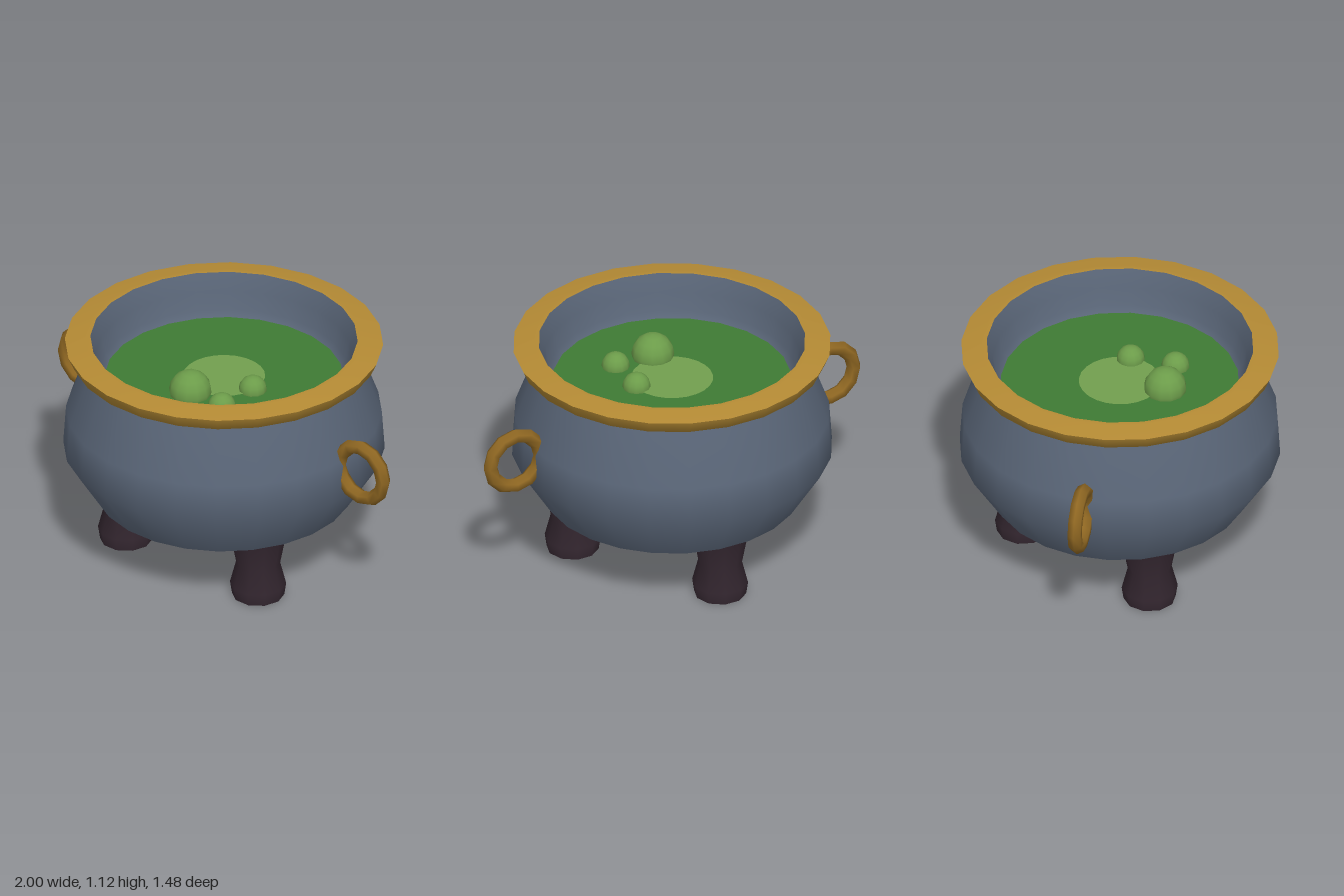
import * as THREE from 'three';

const SIDES = 24;

const mat = (name, color) => {
  const m = new THREE.MeshStandardMaterial({ color });
  m.name = name;
  return m;
};

// Revolve [radius, height] pairs; profiles run counter-clockwise so faces point outwards
const lathe = (points, sides = SIDES) =>
  new THREE.LatheGeometry(points.map(([r, y]) => new THREE.Vector2(r, y)), sides, Math.PI / sides);

export function createModel() {
  const iron = mat('iron', 0x5a6678);
  const darkIron = mat('dark iron', 0x33262f);
  const brass = mat('brass', 0xb48a34);
  const darkBrass = mat('dark brass', 0x8f6722);
  const brew = mat('brew', 0x3f7a34);
  const foam = mat('foam', 0x729f4f);
  const bubbleGreen = mat('bubble green', 0x6c9c4a);

  const model = new THREE.Group();
  model.name = 'cauldron';
  const add = (name, geometry, material, x = 0, y = 0, z = 0) => {
    const mesh = new THREE.Mesh(geometry, material);
    mesh.name = name;
    mesh.position.set(x, y, z);
    model.add(mesh);
    return mesh;
  };

  // Pot: dark base, bulging outer wall and inner wall with a small ledge
  add('base', lathe([[0, 0.215], [0.35, 0.215], [0.603, 0.32]]), darkIron);
  add('outerWall', lathe([[0.603, 0.32], [0.748, 0.55], [0.735, 0.74], [0.635, 1.01], [0.63, 1.06]]), iron);
  add('innerWall', lathe([[0.628, 1.117], [0.595, 1.03], [0.58, 0.94], [0.55, 0.905]]), iron);

  // Rim: sloping outside and nearly flat top
  add('rimSide', lathe([[0.625, 1.012], [0.715, 1.04], [0.741, 1.10]]), brass);
  add('rimTop', lathe([[0.741, 1.10], [0.645, 1.117], [0.622, 1.117]]), brass);

  // Brew with a paler patch and rising bubbles
  add('brewSurface', lathe([[0.562, 0.912], [0, 0.912]]), brew);
  add('foamPatch', lathe([[0.192, 0.918], [0, 0.918]]), foam);
  const bubbles = [[-0.02, 0.93, 0.22, 0.1], [0.183, 0.92, 0.01, 0.066], [0.175, 0.918, 0.225, 0.066]];
  for (const [x, y, z, r] of bubbles) {
    add('bubble', new THREE.SphereGeometry(r, 12, 8), bubbleGreen, x, y, z);
  }

  // Ring handles on both sides
  for (const side of [-1, 1]) {
    add(side > 0 ? 'leftHandle' : 'rightHandle',
      new THREE.TorusGeometry(0.132, 0.035, 6, 12), darkBrass, side * 0.833, 0.705, 0);
  }

  // Three pinched legs: two in front, one behind
  const legSide = lathe([[0.122, 0], [0.131, 0.06], [0.103, 0.17], [0.131, 0.32]], 10);
  const legSole = lathe([[0, 0], [0.122, 0]], 10);
  for (let i = 0; i < 3; i++) {
    const a = Math.PI / 3 + (i * Math.PI * 2) / 3;
    const x = 0.462 * Math.sin(a), z = 0.462 * Math.cos(a);
    add('leg', legSide, darkIron, x, 0, z);
    add('legSole', legSole, darkIron, x, 0, z);
  }

  return model;
}
